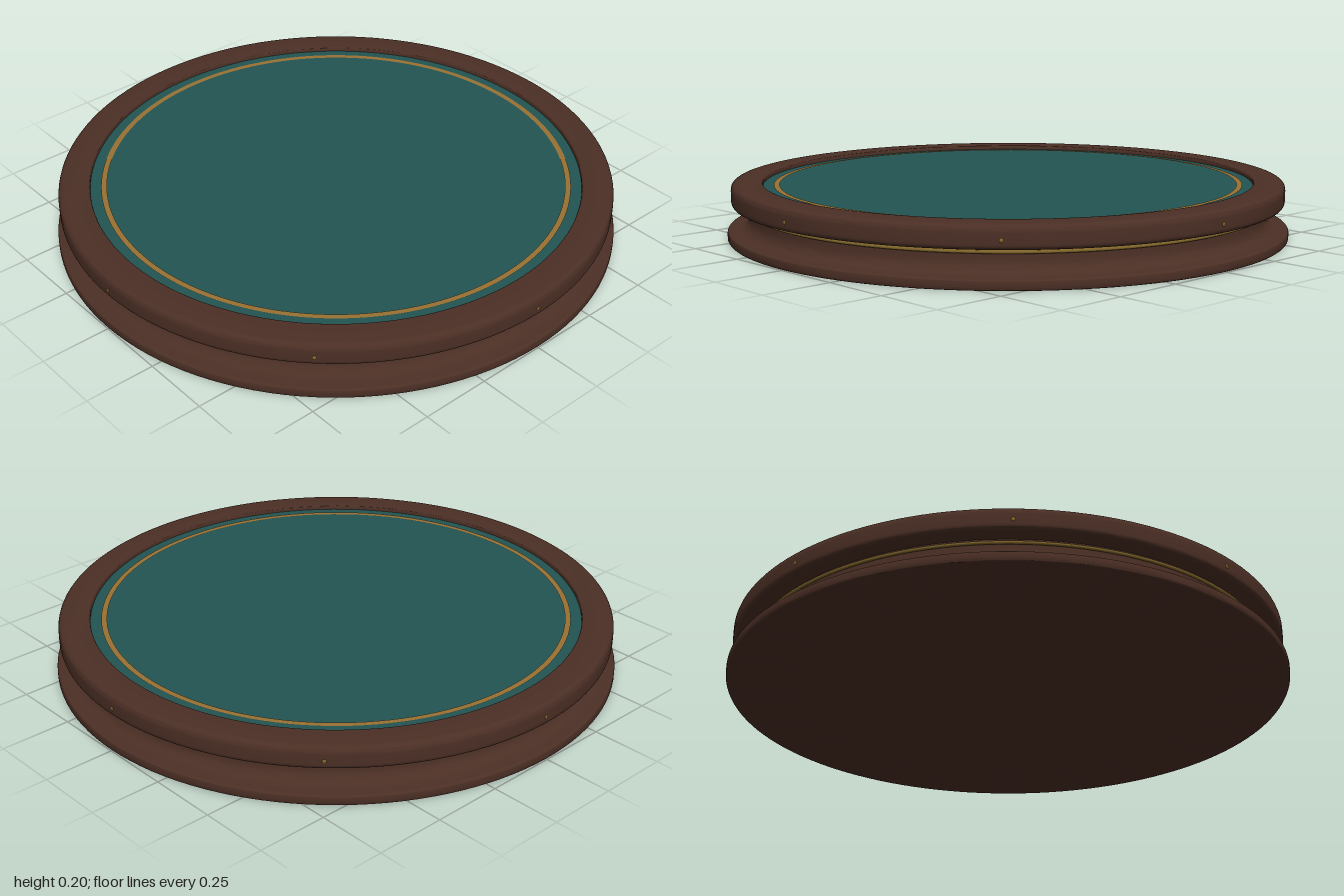
import * as THREE from 'three';
import { toCreasedNormals } from 'three/addons/utils/BufferGeometryUtils.js';

const SEGMENTS = 128;

function material(name, color) {
  const m = new THREE.MeshStandardMaterial({ color });
  m.name = name;
  return m;
}

// Revolve a 2D path (x = radius, y = height), keeping sharp edges crisp
function turned(name, path, mat) {
  const points = path.getPoints(6);
  const geometry = toCreasedNormals(new THREE.LatheGeometry(points, SEGMENTS), 0.6);
  const mesh = new THREE.Mesh(geometry, mat);
  mesh.name = name;
  return mesh;
}

export function createModel() {
  const group = new THREE.Group();
  group.name = 'roundPlinth';
  const wood = material('dark walnut', 0x4b2f25);
  const felt = material('teal felt', 0x225452);
  const gold = material('gold inlay', 0x987134);
  const brass = material('aged brass', 0x80652a);

  // Base: flat foot, concave cove and straight neck
  const base = new THREE.Path();
  base.moveTo(0, 0);
  base.lineTo(0.99, 0);
  base.quadraticCurveTo(1, 0, 1, 0.01);
  base.lineTo(1, 0.026);
  base.quadraticCurveTo(1, 0.036, 0.99, 0.036);
  base.lineTo(0.965, 0.036);
  base.quadraticCurveTo(0.92, 0.04, 0.918, 0.085);
  base.lineTo(0.918, 0.125);
  group.add(turned('base', base, wood));

  // Top rim: rounded outer band with a shallow recess inside
  const rim = new THREE.Path();
  rim.moveTo(0.86, 0.121);
  rim.lineTo(0.965, 0.121);
  rim.quadraticCurveTo(0.985, 0.121, 0.985, 0.141);
  rim.lineTo(0.985, 0.175);
  rim.quadraticCurveTo(0.985, 0.2, 0.96, 0.2);
  rim.lineTo(0.88, 0.2);
  rim.quadraticCurveTo(0.873, 0.2, 0.873, 0.193);
  rim.lineTo(0.873, 0.178);
  group.add(turned('rim', rim, wood));

  // Felt playing surface
  const cloth = new THREE.Mesh(new THREE.CircleGeometry(0.874, SEGMENTS), felt);
  cloth.name = 'feltTop';
  cloth.rotation.x = -Math.PI / 2;
  cloth.position.y = 0.185;
  group.add(cloth);

  // Thin gold ring on the felt
  const ring = new THREE.Mesh(new THREE.RingGeometry(0.815, 0.835, SEGMENTS), gold);
  ring.name = 'goldRing';
  ring.rotation.x = -Math.PI / 2;
  ring.position.y = 0.188;
  group.add(ring);

  // Brass bead around the neck
  const bead = new THREE.Mesh(new THREE.TorusGeometry(0.924, 0.006, 8, SEGMENTS), brass);
  bead.name = 'brassBead';
  bead.rotation.x = Math.PI / 2;
  bead.position.y = 0.106;
  group.add(bead);

  // Eight small studs set around the rim
  for (let i = 0; i < 8; i++) {
    const a = (i * Math.PI) / 4;
    const stud = new THREE.Mesh(new THREE.SphereGeometry(0.008, 10, 8), brass);
    stud.name = 'stud' + (i + 1);
    stud.position.set(Math.sin(a) * 0.983, 0.153, Math.cos(a) * 0.983);
    stud.scale.z = 0.6;
    stud.rotation.y = a;
    group.add(stud);
  }

  return group;
}
